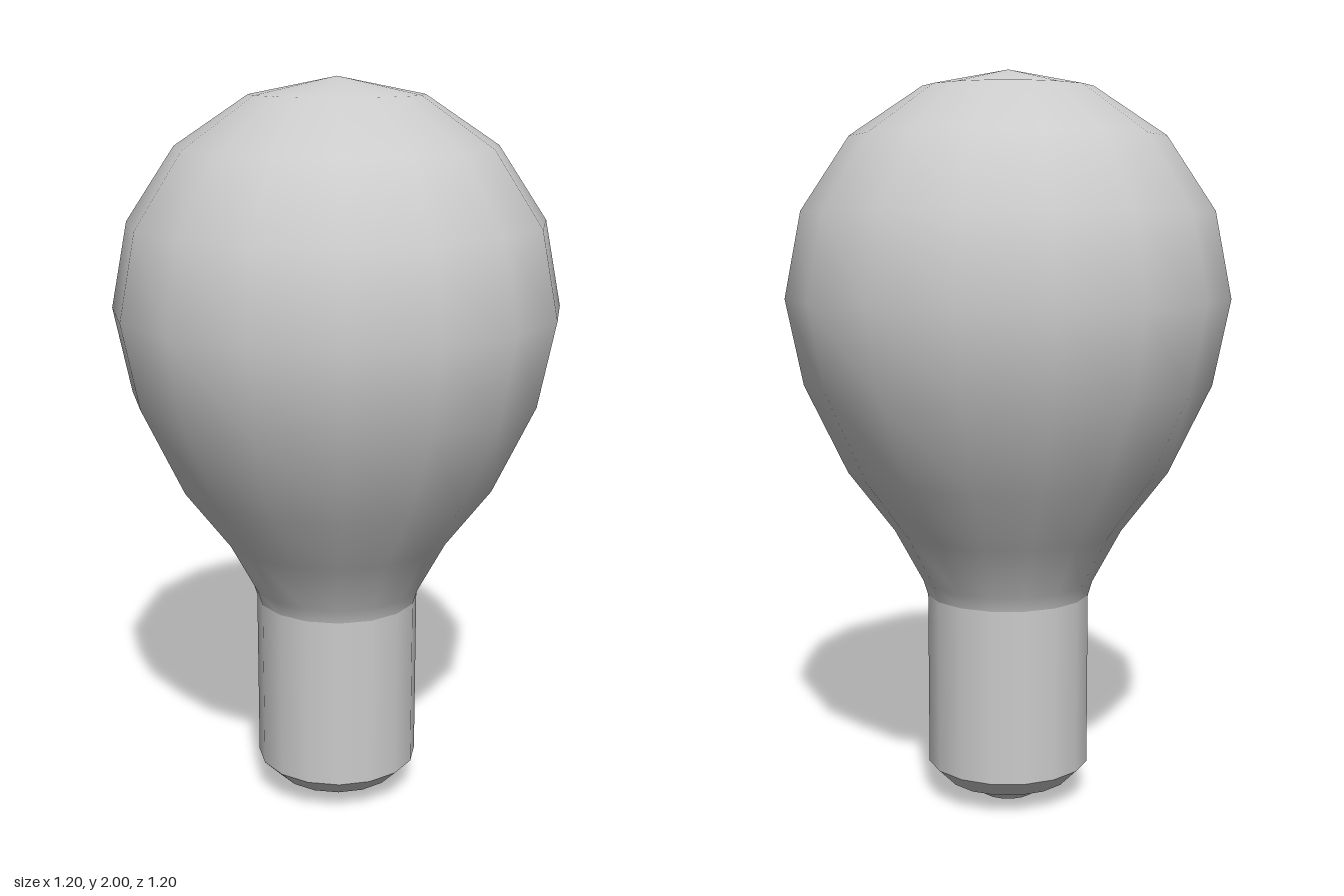
import * as THREE from 'three';

const SIDES = 16;
const material = new THREE.MeshStandardMaterial({ color: 0xcccccc });

// Revolves a bottom-to-top [radius, height] profile around the y axis
function turned(name, profile) {
  const points = profile.map(([r, y]) => new THREE.Vector2(r, y));
  const mesh = new THREE.Mesh(new THREE.LatheGeometry(points, SIDES), material);
  mesh.name = name;
  return mesh;
}

export function createModel() {
  const bulb = new THREE.Group();
  bulb.name = 'lightBulb';

  // Glass: flared neck, then a round dome
  const glass = [[0.225, 0.58], [0.237, 0.62], [0.315, 0.765], [0.44, 0.93]];
  for (let i = -1; i <= 4; i++) {
    const a = (i * Math.PI) / 8;
    glass.push([i === 4 ? 0 : 0.6 * Math.cos(a), 1.4 + 0.6 * Math.sin(a)]);
  }
  bulb.add(turned('glass', glass));

  // Socket sleeve
  bulb.add(turned('socket', [[0.225, 0.1], [0.225, 0.58]]));

  // Stepped base, one piece per band so that the edges stay sharp
  const base = new THREE.Group();
  base.name = 'base';
  const steps = [[0, 0], [0.075, 0], [0.125, 0.05], [0.175, 0.05], [0.225, 0.1]];
  const names = ['contactTip', 'contactBevel', 'insulatorRing', 'socketBevel'];
  names.forEach((name, i) => base.add(turned(name, [steps[i], steps[i + 1]])));
  bulb.add(base);

  return bulb;
}
